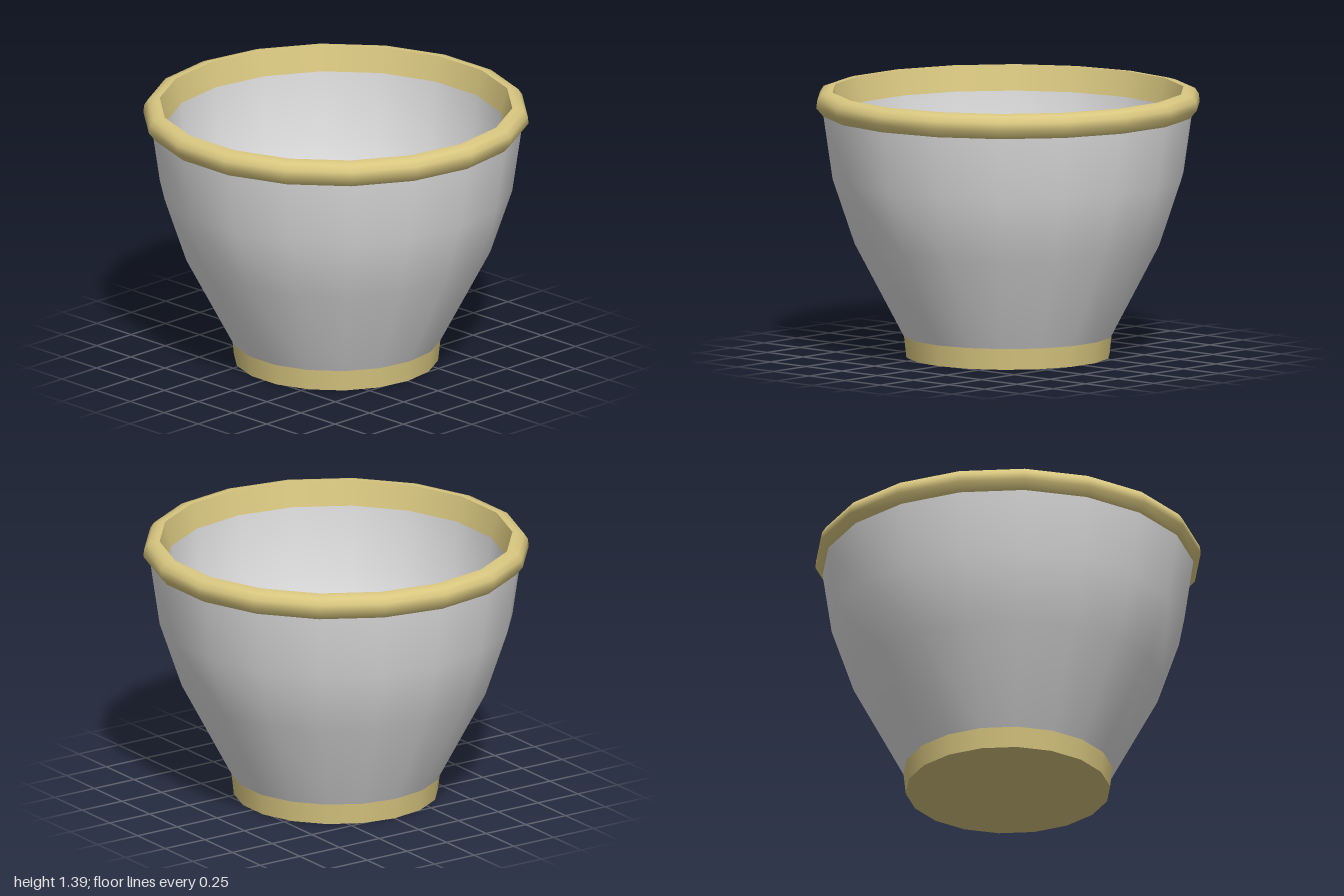
import * as THREE from 'three';

const SIDES = 18;

export function createModel() {
  const model = new THREE.Group();
  model.name = 'bowl';

  const glaze = new THREE.MeshStandardMaterial({ color: 0xe0e0e0 });
  glaze.name = 'pale grey glaze';
  const gold = new THREE.MeshStandardMaterial({ color: 0xd9c780 });
  gold.name = 'muted gold';

  // Revolve a profile of [radius, height] pairs, with a corner on the x axis
  function turned(name, profile, material) {
    const points = profile.map(([r, y]) => new THREE.Vector2(r, y));
    const mesh = new THREE.Mesh(new THREE.LatheGeometry(points, SIDES, Math.PI / 2), material);
    mesh.name = name;
    model.add(mesh);
  }

  // Gold foot: flat underside and short flared ring
  turned('footBase', [[0, 0], [0.53, 0]], gold);
  turned('footRing', [[0.53, 0], [0.542, 0.11]], gold);

  // Outer wall
  turned('outerWall', [[0.542, 0.11], [0.8, 0.6], [0.915, 0.94], [0.962, 1.265]], glaze);

  // Rolled gold rim, running over the lip and down inside
  turned('rim', [[0.962, 1.265], [1, 1.31], [0.995, 1.35], [0.975, 1.38], [0.94, 1.39], [0.915, 1.39]], gold);
  turned('innerRimBand', [[0.915, 1.39], [0.882, 1.26]], gold);

  // Inner wall and flat floor
  turned('innerWall', [[0.882, 1.26], [0.855, 0.92], [0.745, 0.6], [0.445, 0.1]], glaze);
  turned('floor', [[0.445, 0.1], [0, 0.1]], glaze);

  return model;
}
